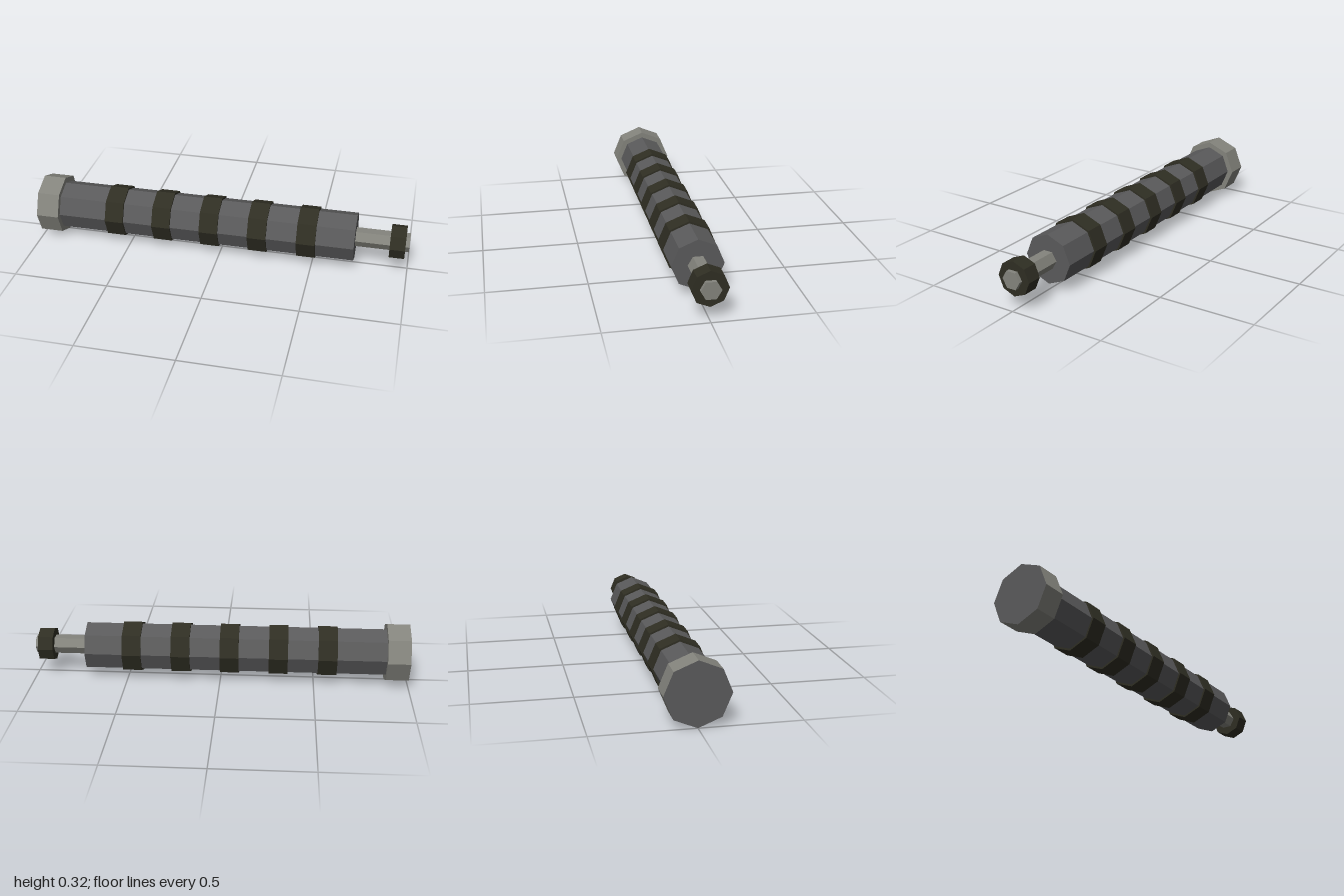
import * as THREE from 'three';

const material = (name, color) => {
  const m = new THREE.MeshStandardMaterial({ color, flatShading: true });
  m.name = name;
  return m;
};

export function createModel() {
  const group = new THREE.Group();
  group.name = 'bandedCylinder';

  const bodyGrey = material('bodyGrey', 0x5a5a5b);
  const paleMetal = material('paleMetal', 0x84847d);
  const darkBand = material('darkBand', 0x2f2e23);
  const axisHeight = 0.16;

  // Faceted prism lying along x, from x0 to x1
  function prism(name, x0, x1, radius, sides, mat) {
    const geometry = new THREE.CylinderGeometry(radius, radius, x1 - x0, sides);
    geometry.rotateZ(-Math.PI / 2);
    const mesh = new THREE.Mesh(geometry, mat);
    mesh.name = name;
    mesh.position.set((x0 + x1) / 2, axisHeight, 0);
    group.add(mesh);
  }

  // Main tube, starting inside the collar
  prism('body', -0.94, 0.72, 0.13, 8, bodyGrey);

  // End collar: pale sides and inner face, grey outer face
  prism('endCollar', -1, -0.88, 0.16, 8, [paleMetal, paleMetal, bodyGrey]);

  // Five evenly spaced grip bands
  for (let i = 0; i < 5; i++) {
    const x = -0.57 + i * 0.26;
    prism('gripBand' + (i + 1), x - 0.05, x + 0.05, 0.14, 8, darkBand);
  }

  // Hexagonal rod and the nut near its tip
  prism('rod', 0.7, 1, 0.05, 6, paleMetal);
  prism('rodNut', 0.9, 0.98, 0.09, 8, darkBand);

  return group;
}
